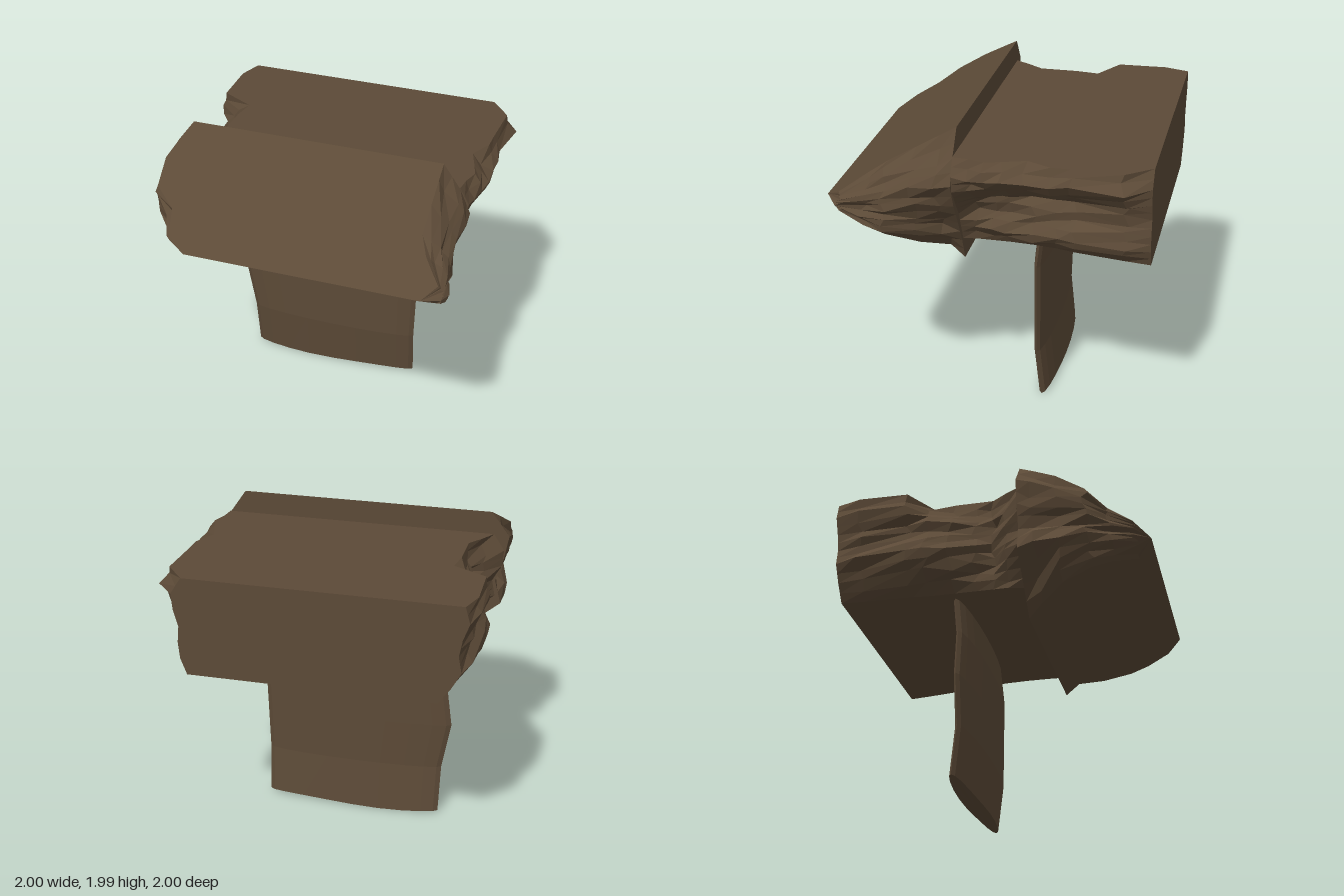
import * as THREE from 'three';

// Each section: z, then the distance from the middle to the broken end, from top edge to bottom edge
const SHAFT_LEFT = [
  [-1, 0.93, 0.96, 0.92, 0.9, 0.92, 0.86, 0.78],
  [-0.84, 0.98, 1, 0.95, 0.92, 0.95, 0.88, 0.77],
  [-0.52, 0.97, 1, 0.94, 0.93, 0.98, 0.92, 0.76],
  [-0.4, 0.75, 0.88, 0.93, 0.94, 0.98, 0.92, 0.75],
  [-0.25, 0.77, 0.8, 0.9, 0.93, 0.97, 0.88, 0.75],
  [-0.1, 0.77, 0.78, 0.82, 0.85, 0.87, 0.8, 0.75],
  [0, 0.77, 0.77, 0.78, 0.78, 0.78, 0.77, 0.75],
  [0.1, 0.84, 0.85, 0.86, 0.85, 0.85, 0.78, 0.75],
  [0.2, 0.9, 0.97, 0.96, 0.9, 0.92, 0.8, 0.72],
];
const SHAFT_RIGHT = [
  [-1, 0.8, 0.87, 0.86, 0.83, 0.84, 0.83, 0.79],
  [-0.84, 0.93, 0.98, 0.91, 0.8, 0.8, 0.84, 0.77],
  [-0.52, 0.92, 0.98, 0.84, 0.71, 0.73, 0.8, 0.72],
  [-0.4, 0.92, 0.99, 0.84, 0.69, 0.71, 0.77, 0.69],
  [-0.25, 0.85, 0.98, 0.84, 0.68, 0.69, 0.75, 0.67],
  [-0.1, 0.9, 0.98, 0.85, 0.69, 0.68, 0.73, 0.66],
  [0, 0.93, 0.99, 0.87, 0.71, 0.68, 0.72, 0.66],
  [0.1, 0.9, 0.98, 0.9, 0.76, 0.7, 0.72, 0.66],
  [0.2, 0.89, 0.95, 0.93, 0.85, 0.77, 0.72, 0.67],
];
const HEAD_LEFT = [
  [0.2, 0.88, 1, 0.97, 0.92, 0.96, 0.77, 0.6],
  [0.3, 0.92, 1, 0.97, 0.92, 0.97, 0.78, 0.68],
  [0.45, 0.97, 1, 0.95, 0.9, 0.97, 0.88, 0.76],
  [0.63, 0.95, 0.98, 0.94, 0.9, 0.92, 0.83, 0.72],
  [0.75, 0.8, 0.84, 0.85, 0.83, 0.8, 0.73, 0.64],
  [0.9, 0.76, 0.76, 0.75, 0.73, 0.68, 0.6, 0.48],
  [1, 0.62, 0.62, 0.62, 0.62, 0.62, 0.62, 0.62],
];
const HEAD_RIGHT = [
  [0.2, 0.78, 0.89, 0.96, 0.89, 0.79, 0.7, 0.63],
  [0.3, 0.78, 0.89, 0.96, 0.89, 0.8, 0.74, 0.59],
  [0.45, 0.78, 0.89, 0.96, 0.91, 0.85, 0.86, 0.77],
  [0.63, 0.78, 0.88, 0.96, 0.95, 0.95, 0.96, 0.92],
  [0.75, 0.84, 0.9, 0.96, 0.97, 0.97, 0.98, 0.97],
  [0.9, 0.96, 0.98, 0.98, 0.98, 0.98, 0.98, 0.98],
  [1, 0.88, 0.88, 0.88, 0.88, 0.88, 0.88, 0.88],
];
const ROWS = 12;

function seeded(seed) {
  return () => {
    seed = (seed * 16807) % 2147483647;
    return seed / 2147483647 - 0.5;
  };
}

// Unshared corners give hard facets
function facets(points) {
  const geometry = new THREE.BufferGeometry();
  geometry.setAttribute('position', new THREE.Float32BufferAttribute(points.flat(), 3));
  geometry.computeVertexNormals();
  return geometry;
}

function quad(out, a, b, c, d) {
  out.push(a, b, c, a, c, d);
}

// Rough columns of points down one broken end
function brokenEnd(table, side, top, bottom, random) {
  return table.map(([z, ...reach], s) => Array.from({ length: ROWS + 1 }, (_, i) => {
    const f = (i / ROWS) * (reach.length - 1);
    const k = Math.min(Math.floor(f), reach.length - 2);
    let x = reach[k] + (reach[k + 1] - reach[k]) * (f - k);
    let y = top(z) + (bottom(z) - top(z)) * (i / ROWS);
    let pz = z;
    if (i > 0 && i < ROWS && s > 0 && s < table.length - 1) {
      x += random() * 0.045;
      y += random() * 0.05 * (top(z) - bottom(z));
      pz += random() * 0.05;
    }
    return [side * Math.min(1, x), y, pz];
  }));
}

// Solid with flat top, bottom, back and front between two broken ends
function brokenBlock(leftTable, rightTable, top, bottom, seed) {
  const random = seeded(seed);
  const L = brokenEnd(leftTable, -1, top, bottom, random);
  const R = brokenEnd(rightTable, 1, top, bottom, random);
  const out = [];
  for (let s = 0; s < L.length - 1; s++) {
    const la = L[s], lb = L[s + 1], ra = R[s], rb = R[s + 1];
    quad(out, lb[0], rb[0], ra[0], la[0]);
    quad(out, la[ROWS], ra[ROWS], rb[ROWS], lb[ROWS]);
    for (let i = 0; i < ROWS; i++) {
      quad(out, rb[i + 1], ra[i + 1], ra[i], rb[i]);
      quad(out, la[i + 1], lb[i + 1], lb[i], la[i]);
    }
  }
  const lf = L[L.length - 1], rf = R[R.length - 1];
  for (let i = 0; i < ROWS; i++) {
    quad(out, R[0][i + 1], L[0][i + 1], L[0][i], R[0][i]);
    if (lf[0][1] > lf[ROWS][1]) quad(out, lf[i + 1], rf[i + 1], rf[i], lf[i]);
  }
  return facets(out);
}

// Bent plank with a lens-shaped section: [y, left x, right x, middle z]
function plank() {
  const rows = [
    [0.005, -0.67, 0.5, -0.275], [0.34, -0.68, 0.505, -0.24], [0.66, -0.74, 0.515, -0.24],
    [0.97, -0.7, 0.525, -0.24], [1.25, -0.68, 0.525, -0.27],
  ];
  const n = 20;
  const loops = rows.map(([y, l, r, z], k) => Array.from({ length: n }, (_, i) => {
    const a = (i / n) * Math.PI * 2;
    const x = (l + r) / 2 + Math.cos(a) * (r - l) / 2;
    const ragged = k === 0 ? 0.01 + 0.01 * Math.sin(x * 5) : 0;
    return [x, y + ragged, z + Math.sin(a) * 0.06];
  }));
  const out = [];
  for (let i = 0; i < n; i++) {
    const j = (i + 1) % n;
    for (let k = 0; k < rows.length - 1; k++) {
      quad(out, loops[k][j], loops[k][i], loops[k + 1][i], loops[k + 1][j]);
    }
    out.push([-0.085, 0.012, -0.275], loops[0][i], loops[0][j]);
  }
  return facets(out);
}

export function createModel() {
  const model = new THREE.Group();
  model.name = 'woodenArrowSign';
  const wood = new THREE.MeshStandardMaterial({ color: 0x5c4a37 });
  wood.name = 'darkWood';
  const add = (name, geometry) => {
    const mesh = new THREE.Mesh(geometry, wood);
    mesh.name = name;
    model.add(mesh);
  };
  add('arrowShaft', brokenBlock(SHAFT_LEFT, SHAFT_RIGHT, () => 1.85, () => 1.21, 71));
  const taper = (z) => (1 - z) / 0.8;
  add('arrowHead', brokenBlock(HEAD_LEFT, HEAD_RIGHT,
    (z) => 1.53 + 0.47 * taper(z), (z) => 1.53 - 0.475 * taper(z), 193));
  add('post', plank());
  return model;
}
